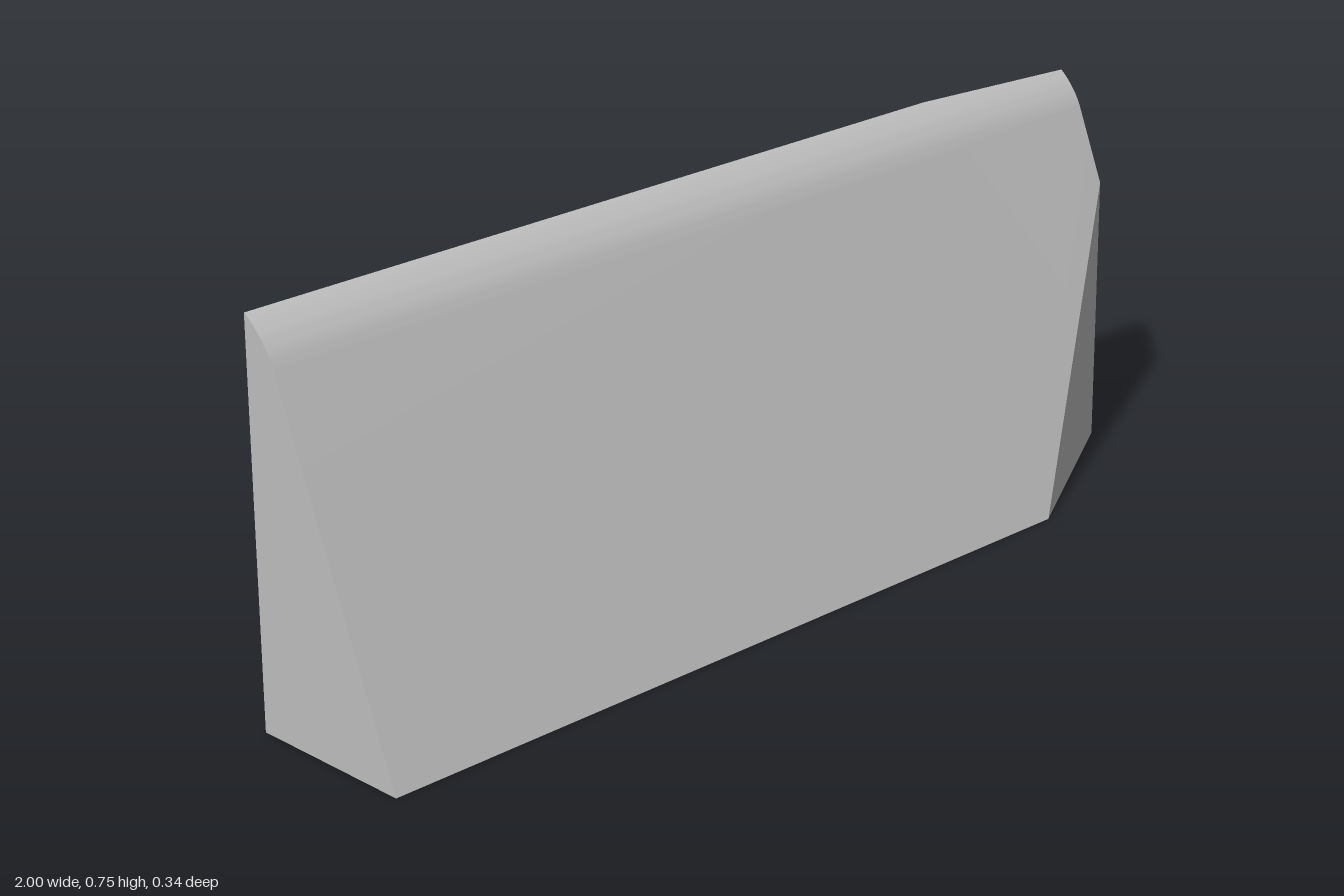
import * as THREE from 'three';
import { toCreasedNormals } from 'three/addons/utils/BufferGeometryUtils.js';

// Rounded upper lip, blending the sloped front into the back edge (z, y)
const lip = new THREE.QuadraticBezierCurve(
  new THREE.Vector2(-0.1, 0.672),
  new THREE.Vector2(-0.12, 0.723),
  new THREE.Vector2(-0.17, 0.755)
);
const LIP_STEPS = 12;

// Cross-section at x: back bottom, front bottom, foot of the slope, then the lip
function section(x, backBottom, frontBottom, slopeFoot, lipEnd) {
  const points = [backBottom, frontBottom, slopeFoot];
  for (let i = 0; i <= LIP_STEPS; i++) {
    const p = lip.getPoint((lipEnd * i) / LIP_STEPS);
    points.push([p.x, p.y]);
  }
  return points.map(([z, y]) => new THREE.Vector3(x, y, z));
}

// Joins the cross-sections and closes both ends
function loft(sections) {
  const positions = [];
  const triangle = (a, b, c) => {
    const area = b.clone().sub(a).cross(c.clone().sub(a)).length();
    if (area > 1e-8) for (const p of [a, b, c]) positions.push(p.x, p.y, p.z);
  };
  const count = sections[0].length;
  for (let k = 0; k < sections.length - 1; k++) {
    const s = sections[k];
    const t = sections[k + 1];
    for (let i = 0; i < count; i++) {
      const j = (i + 1) % count;
      triangle(s[i], t[i], t[j]);
      triangle(s[i], t[j], s[j]);
    }
  }
  const first = sections[0];
  const last = sections[sections.length - 1];
  for (let i = 1; i < count - 1; i++) {
    triangle(first[0], first[i], first[i + 1]);
    triangle(last[0], last[i + 1], last[i]);
  }
  const geometry = new THREE.BufferGeometry();
  geometry.setAttribute('position', new THREE.Float32BufferAttribute(positions, 3));
  return toCreasedNormals(geometry, 0.4);
}

export function createModel() {
  const grey = new THREE.MeshStandardMaterial({ color: 0xc0c0c0 });
  grey.name = 'light grey';

  const group = new THREE.Group();
  group.name = 'wedgePanel';

  // Straight wedge, then a tapered end with its front corner cut off
  const wedge = new THREE.Mesh(
    loft([
      section(-1, [-0.17, 0], [0.17, 0], [0.17, 0], 1),
      section(0.62, [-0.17, 0], [0.17, 0], [0.17, 0], 1),
      section(1, [-0.153, 0.04], [-0.045, 0.007], [-0.045, 0.535], 0.82),
    ]),
    grey
  );
  wedge.name = 'wedgeBody';
  group.add(wedge);
  return group;
}
